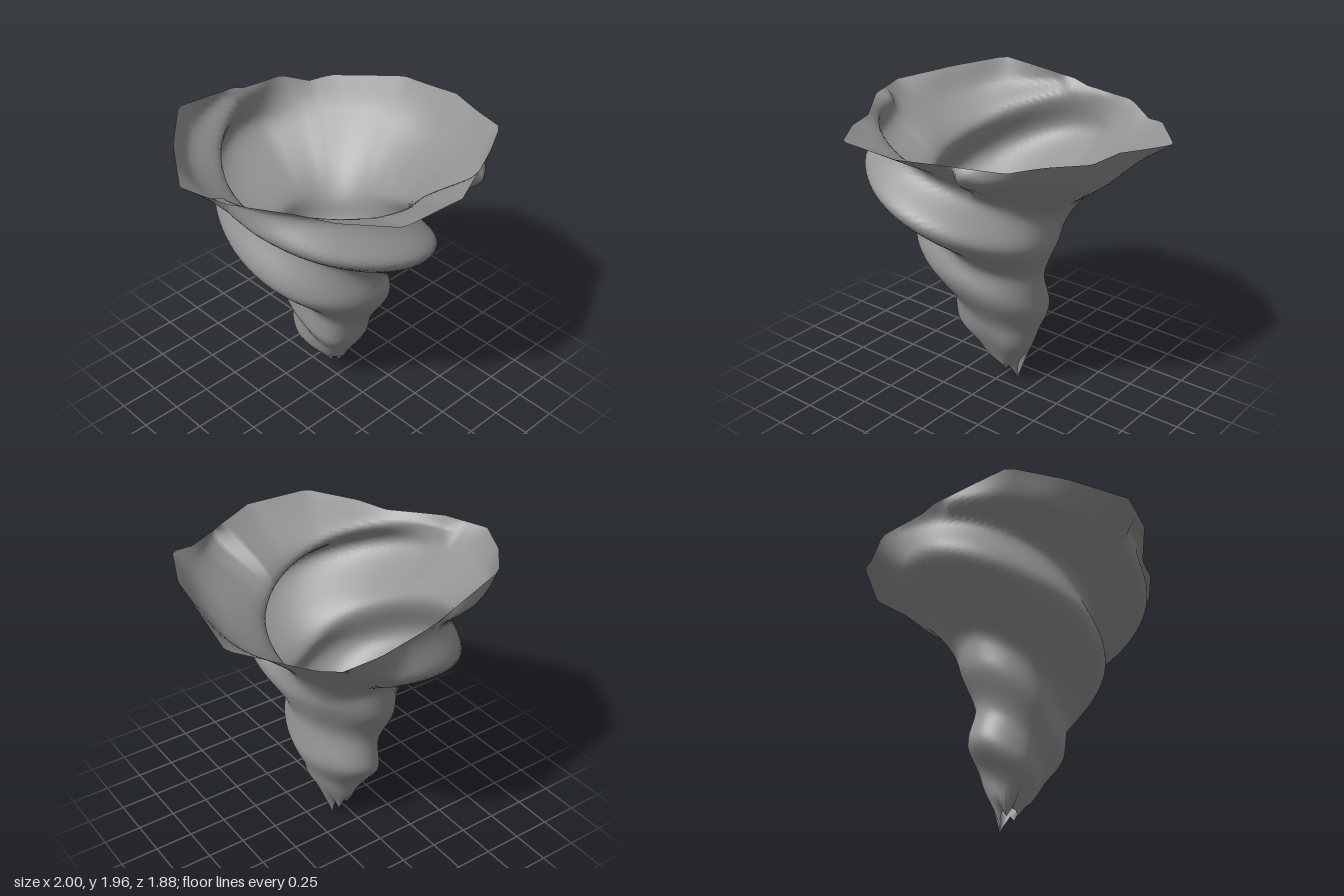
import * as THREE from 'three';

// Spiral valleys and ridges winding down the funnel.
// start: angle in degrees from the front towards +x; then [height, radius] every 45 degrees.
const THREADS = [
  // first valley
  { start: 135, path: [[1.75, 1.06], [1.78, 0.88], [1.58, 0.68], [1.40, 0.50], [1.20, 0.42], [1.00, 0.35], [0.90, 0.33],
    [0.82, 0.31], [0.76, 0.29], [0.70, 0.31], [0.55, 0.265], [0.42, 0.21], [0.32, 0.20], [0.22, 0.13], [0.14, 0.09], [0.08, 0.06]] },
  // first ridge
  { start: 0, path: [[1.86, 0.94], [1.75, 0.86], [1.60, 0.79], [1.62, 0.86], [1.56, 0.93], [1.35, 0.75], [1.13, 0.60],
    [0.97, 0.47], [0.87, 0.385], [0.75, 0.35], [0.62, 0.31], [0.58, 0.31], [0.52, 0.335], [0.40, 0.27], [0.30, 0.19],
    [0.22, 0.15], [0.15, 0.10], [0.08, 0.06]] },
  // second valley
  { start: 225, path: [[1.93, 0.96], [1.82, 0.85], [1.72, 0.66], [1.57, 0.53], [1.40, 0.45], [1.25, 0.40], [1.14, 0.44],
    [1.13, 0.46], [0.93, 0.38], [0.75, 0.28], [0.64, 0.30], [0.55, 0.245], [0.48, 0.24], [0.42, 0.235], [0.35, 0.20],
    [0.28, 0.155], [0.20, 0.13], [0.10, 0.07]] },
  // second ridge
  { start: 180, path: [[1.86, 0.92], [1.78, 0.90], [1.70, 0.82], [1.55, 0.80], [1.39, 0.74], [1.22, 0.57], [1.10, 0.41],
    [1.04, 0.41], [1.00, 0.455], [0.80, 0.365], [0.60, 0.285], [0.50, 0.30], [0.42, 0.215], [0.36, 0.22], [0.31, 0.19],
    [0.25, 0.16], [0.18, 0.12], [0.08, 0.06]] },
].map(({ start, path }) => ({
  start,
  span: (path.length - 1) * 45,
  curve: new THREE.SplineCurve(path.map(([y, r]) => new THREE.Vector2(r, y))),
}));

// Torn upper rim: angle in degrees, radius, height
const RIM = [
  [3, 0.94, 1.86], [41.6, 0.905, 1.83], [53, 0.98, 1.88], [71, 0.95, 1.84], [84, 0.95, 1.86], [112, 1.08, 1.78],
  [139, 1.06, 1.75], [147, 1.03, 1.73], [158, 1.02, 1.80], [177, 0.92, 1.84], [183, 0.92, 1.87], [214, 0.98, 1.96],
  [236, 0.96, 1.91], [258, 1.02, 1.86], [276, 0.91, 1.85], [301, 0.79, 1.83], [316, 0.86, 1.84],
  [337, 0.99, 1.86], [363, 0.94, 1.86],
];
// Ragged heights of the lower tip
const TIP = [0.08, 0.11, 0.06, 0, 0.1, 0.05, 0.12, 0.08, 0.13, 0.12, 0.09, 0.13];

// Rim radius and height, with straight edges between the torn corners
function rimAt(degrees) {
  const deg = degrees < RIM[0][0] ? degrees + 360 : degrees;
  let k = 0;
  while (k < RIM.length - 2 && RIM[k + 1][0] < deg) k++;
  const [a, b] = [RIM[k], RIM[k + 1]];
  const corner = ([d, r]) => new THREE.Vector2(0, r).rotateAround(new THREE.Vector2(), -THREE.MathUtils.degToRad(d));
  const p = corner(a), e = corner(b).sub(p);
  const phi = THREE.MathUtils.degToRad(deg);
  const r = p.cross(e) / new THREE.Vector2(Math.sin(phi), Math.cos(phi)).cross(e);
  const f = THREE.MathUtils.clamp((deg - a[0]) / (b[0] - a[0]), 0, 1);
  return new THREE.Vector2(r, THREE.MathUtils.lerp(a[2], b[2], f));
}

// Profile from tip to rim at one angle, through every thread it crosses
function profileAt(deg) {
  const rim = rimAt(deg);
  const t = (deg / 360) * TIP.length, n = Math.floor(t);
  const tip = new THREE.Vector2(0.055, THREE.MathUtils.lerp(TIP[n], TIP[(n + 1) % TIP.length], t - n));
  const crossings = [];
  for (const { start, span, curve } of THREADS) {
    for (let d = deg; d <= start + span; d += 360) {
      if (d >= start) crossings.push(curve.getPoint((d - start) / span));
    }
  }
  const knots = [tip];
  for (const c of crossings.sort((p, q) => p.y - q.y)) {
    if (c.y > knots[knots.length - 1].y + 0.03 && c.y < rim.y - 0.03) knots.push(c);
  }
  knots.push(rim);
  return knots;
}

// Radius at a height: cubic through the knots that never overshoots them
function radiusAt(knots, y) {
  const last = knots.length - 1;
  let i = 0;
  while (i < last - 1 && knots[i + 1].y < y) i++;
  const slope = (k) => (knots[k + 1].x - knots[k].x) / (knots[k + 1].y - knots[k].y);
  const tangent = (k) => {
    if (k === 0) return slope(0);
    if (k === last) return slope(last - 1);
    const s0 = slope(k - 1), s1 = slope(k);
    return s0 * s1 > 0 ? (2 * s0 * s1) / (s0 + s1) : 0;
  };
  const h = knots[i + 1].y - knots[i].y, f = (y - knots[i].y) / h, f2 = f * f, f3 = f2 * f;
  return (2 * f3 - 3 * f2 + 1) * knots[i].x + (f3 - 2 * f2 + f) * h * tangent(i)
    + (3 * f2 - 2 * f3) * knots[i + 1].x + (f3 - f2) * h * tangent(i + 1);
}

function funnelGeometry(columns, rows) {
  const positions = [], index = [];
  for (let i = 0; i < columns; i++) {
    const deg = (i / columns) * 360, phi = THREE.MathUtils.degToRad(deg);
    const knots = profileAt(deg);
    const bottom = knots[0].y, top = knots[knots.length - 1].y;
    const next = (i + 1) % columns;
    for (let j = 0; j <= rows; j++) {
      const y = THREE.MathUtils.lerp(bottom, top, j / rows);
      const r = radiusAt(knots, y);
      // The lower funnel leans back and sideways
      const lean = Math.max(0, 1 - y);
      positions.push(0.055 * lean + r * Math.sin(phi), y, -0.105 * lean + r * Math.cos(phi));
      if (j < rows) {
        const a = i * (rows + 1) + j, b = next * (rows + 1) + j;
        index.push(a, b, b + 1, a, b + 1, a + 1);
      }
    }
  }
  const geometry = new THREE.BufferGeometry();
  geometry.setAttribute('position', new THREE.Float32BufferAttribute(positions, 3));
  geometry.setIndex(index);
  geometry.computeVertexNormals();
  return geometry;
}

export function createModel() {
  const group = new THREE.Group();
  group.name = 'whirlwind';
  const material = new THREE.MeshStandardMaterial({ color: 0x959595, side: THREE.DoubleSide });
  const funnel = new THREE.Mesh(funnelGeometry(120, 80), material);
  funnel.name = 'funnel';
  group.add(funnel);
  return group;
}
